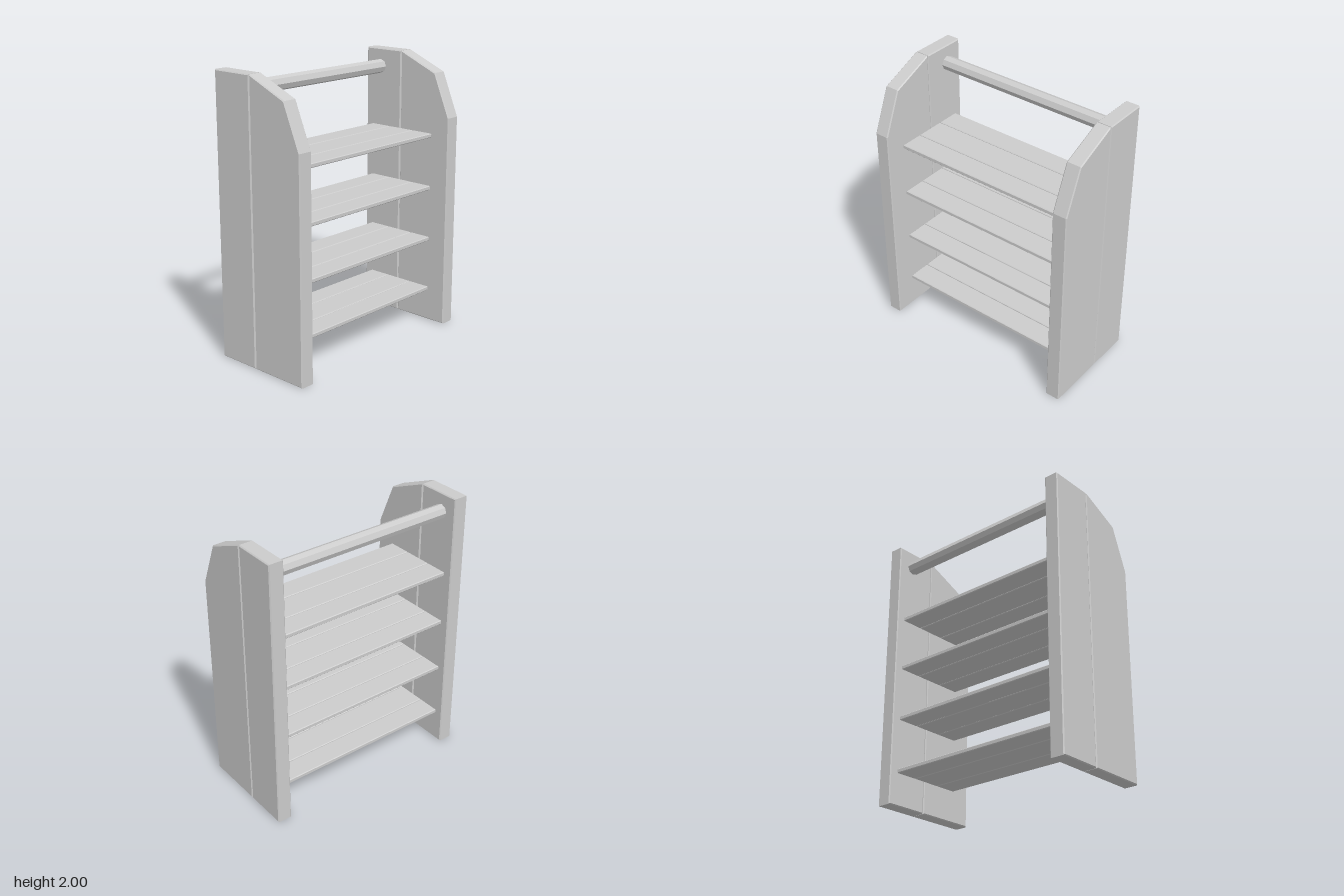
import * as THREE from 'three';

const material = new THREE.MeshStandardMaterial({ color: 0xcccccc });
const flatMaterial = new THREE.MeshStandardMaterial({ color: 0xcccccc, flatShading: true });

// Board with chamfered rims: outline in the XY plane, thickness centred on Z
function boardGeometry(points, thickness, bevel) {
  const shape = new THREE.Shape(points.map(([x, y]) => new THREE.Vector2(x, y)));
  const geometry = new THREE.ExtrudeGeometry(shape, {
    depth: thickness - 2 * bevel,
    bevelEnabled: true,
    bevelSegments: 1,
    bevelSize: bevel,
    bevelThickness: bevel,
    bevelOffset: -bevel,
  });
  return geometry.translate(0, 0, bevel - thickness / 2);
}

function addMesh(parent, name, geometry, mat = material) {
  const mesh = new THREE.Mesh(geometry, mat);
  mesh.name = name;
  parent.add(mesh);
  return mesh;
}

export function createModel() {
  const model = new THREE.Group();
  model.name = 'shelfRack';

  // Side panels: outlines are [z, y], turned so the thickness runs along x
  const inner = 0.69, outer = 0.797;
  const backOutline = [[-0.383, 0], [-0.061, 0], [-0.061, 2], [-0.383, 2]];
  const frontOutline = [[-0.056, 0], [0.383, 0], [0.383, 1.56], [0.253, 1.87], [-0.056, 2]];
  const backBoard = boardGeometry(backOutline, outer - inner, 0.007).rotateY(-Math.PI / 2);
  const frontBoard = boardGeometry(frontOutline, outer - inner, 0.007).rotateY(-Math.PI / 2);
  for (const [side, sign] of [['left', 1], ['right', -1]]) {
    const panel = new THREE.Group();
    panel.name = side + 'SidePanel';
    panel.position.x = sign * (inner + outer) / 2;
    addMesh(panel, 'backBoard', backBoard);
    addMesh(panel, 'frontBoard', frontBoard);
    model.add(panel);
  }

  // Shelves: three slats each, [back z, front z]
  const slats = [[-0.32, -0.156], [-0.151, 0.06], [0.065, 0.233]].map(([z0, z1]) =>
    boardGeometry([[-inner, -z1], [inner, -z1], [inner, -z0], [-inner, -z0]], 0.031, 0.005)
      .rotateX(-Math.PI / 2));
  for (let i = 0; i < 4; i++) {
    const shelf = new THREE.Group();
    shelf.name = 'shelf' + (i + 1);
    shelf.position.y = 0.246 + i * 0.39;
    slats.forEach((geometry, j) => addMesh(shelf, 'slat' + (j + 1), geometry));
    model.add(shelf);
  }

  // Eight-sided top rail
  const rail = addMesh(model, 'topRail',
    new THREE.CylinderGeometry(0.051, 0.051, 2 * inner, 8).rotateZ(Math.PI / 2), flatMaterial);
  rail.position.set(0, 1.87, -0.253);

  return model;
}
